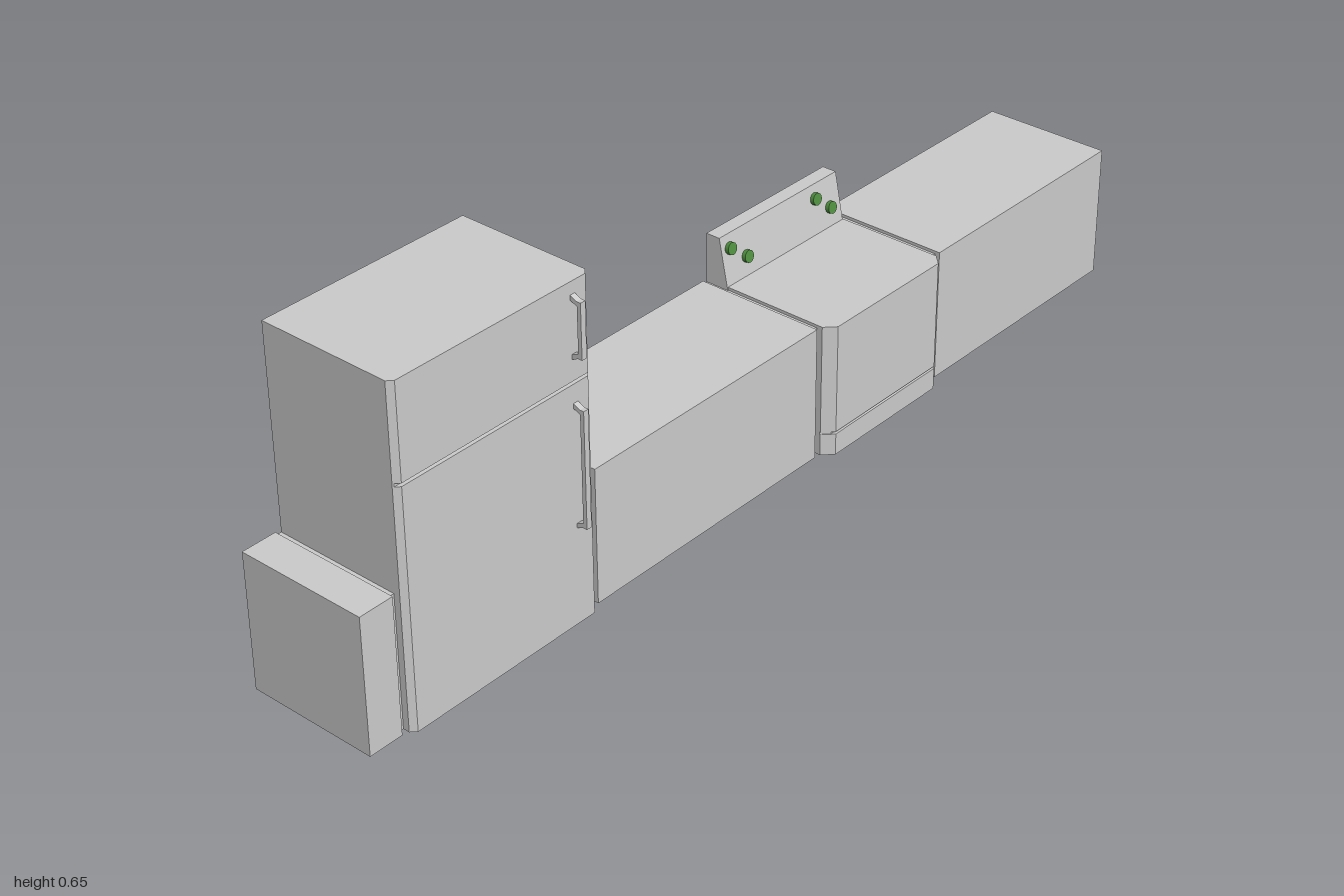
import * as THREE from 'three';

const grey = new THREE.MeshStandardMaterial({ color: 0xcccccc, flatShading: true });
const green = new THREE.MeshStandardMaterial({ color: 0x4f8f3f });
const BACK = -0.15;

export function createModel() {
  const root = new THREE.Group();
  root.name = 'kitchenUnits';

  const add = (name, geometry, parent = root, material = grey) => {
    const mesh = new THREE.Mesh(geometry, material);
    mesh.name = name;
    parent.add(mesh);
    return mesh;
  };
  const shapeOf = (pts) => new THREE.Shape(pts.map(([x, y]) => new THREE.Vector2(x, y)));

  // Block from the back wall to the front, with optional chamfered front corners
  const block = (name, front, y0, y1, z0, z1, bevel = 0, parent = root) => {
    const pts = bevel
      ? [[BACK, -z1], [front - bevel, -z1], [front, -z1 + bevel], [front, -z0 - bevel], [front - bevel, -z0], [BACK, -z0]]
      : [[BACK, -z1], [front, -z1], [front, -z0], [BACK, -z0]];
    const geo = new THREE.ExtrudeGeometry(shapeOf(pts), { depth: y1 - y0, bevelEnabled: false });
    geo.rotateX(-Math.PI / 2);
    geo.translate(0, y0, 0);
    return add(name, geo, parent);
  };

  // Cabinet runs
  for (const [z0, z1] of [[-1, -0.468], [-0.108, 0.472], [0.93, 1]]) {
    block('counter', 0.115, 0, 0.27, z0, z1);
  }
  // Recessed strips between neighbouring units
  for (const [z0, z1] of [[-0.468, -0.455], [-0.12, -0.108], [0.472, 0.485], [0.918, 0.93]]) {
    block('jointStrip', 0.105, 0, 0.264, z0, z1);
  }

  // Refrigerator: two doors separated by a shallow groove
  const fridge = new THREE.Group();
  fridge.name = 'refrigerator';
  root.add(fridge);
  block('fridgeLower', 0.128, 0, 0.467, 0.485, 0.918, 0.01, fridge);
  block('fridgeGroove', 0.12, 0.467, 0.473, 0.485, 0.918, 0.002, fridge);
  block('fridgeUpper', 0.128, 0.473, 0.655, 0.485, 0.918, 0.01, fridge);
  // Door handles with slanted ends
  for (const [y0, y1] of [[0.19, 0.432], [0.513, 0.632]]) {
    const shape = shapeOf([
      [0.126, y0], [0.142, y0 + 0.007], [0.15, y0 + 0.007], [0.15, y1 - 0.007], [0.142, y1 - 0.007],
      [0.126, y1], [0.126, y1 - 0.009], [0.142, y1 - 0.016], [0.142, y0 + 0.016], [0.126, y0 + 0.009],
    ]);
    const geo = new THREE.ExtrudeGeometry(shape, { depth: 0.011, bevelEnabled: false });
    geo.translate(0, 0, 0.52);
    add('doorHandle', geo, fridge);
  }

  // Stove: drawer, groove and oven body
  const stove = new THREE.Group();
  stove.name = 'stove';
  root.add(stove);
  block('stoveDrawer', 0.137, 0, 0.044, -0.455, -0.12, 0.02, stove);
  block('stoveGroove', 0.13, 0.044, 0.049, -0.455, -0.12, 0.015, stove);
  block('stoveBody', 0.137, 0.049, 0.27, -0.455, -0.12, 0.02, stove);

  // Sloped control panel
  const panel = shapeOf([[BACK, 0.26], [-0.099, 0.26], [-0.12, 0.365], [BACK, 0.365]]);
  const panelGeo = new THREE.ExtrudeGeometry(panel, { depth: 0.335, bevelEnabled: false });
  panelGeo.translate(0, 0, -0.453);
  add('controlPanel', panelGeo, stove);

  // Knobs set square to the panel slope
  const slope = Math.atan2(0.021, 0.105);
  for (const [y, z] of [[0.338, -0.14], [0.307, -0.18], [0.338, -0.384], [0.307, -0.422]]) {
    const knob = add('knob', new THREE.CylinderGeometry(0.012, 0.012, 0.012, 16), stove, green);
    knob.position.set(-0.099 - (y - 0.26) * 0.2 + 0.002, y, z);
    knob.rotation.z = slope - Math.PI / 2;
  }
  return root;
}
